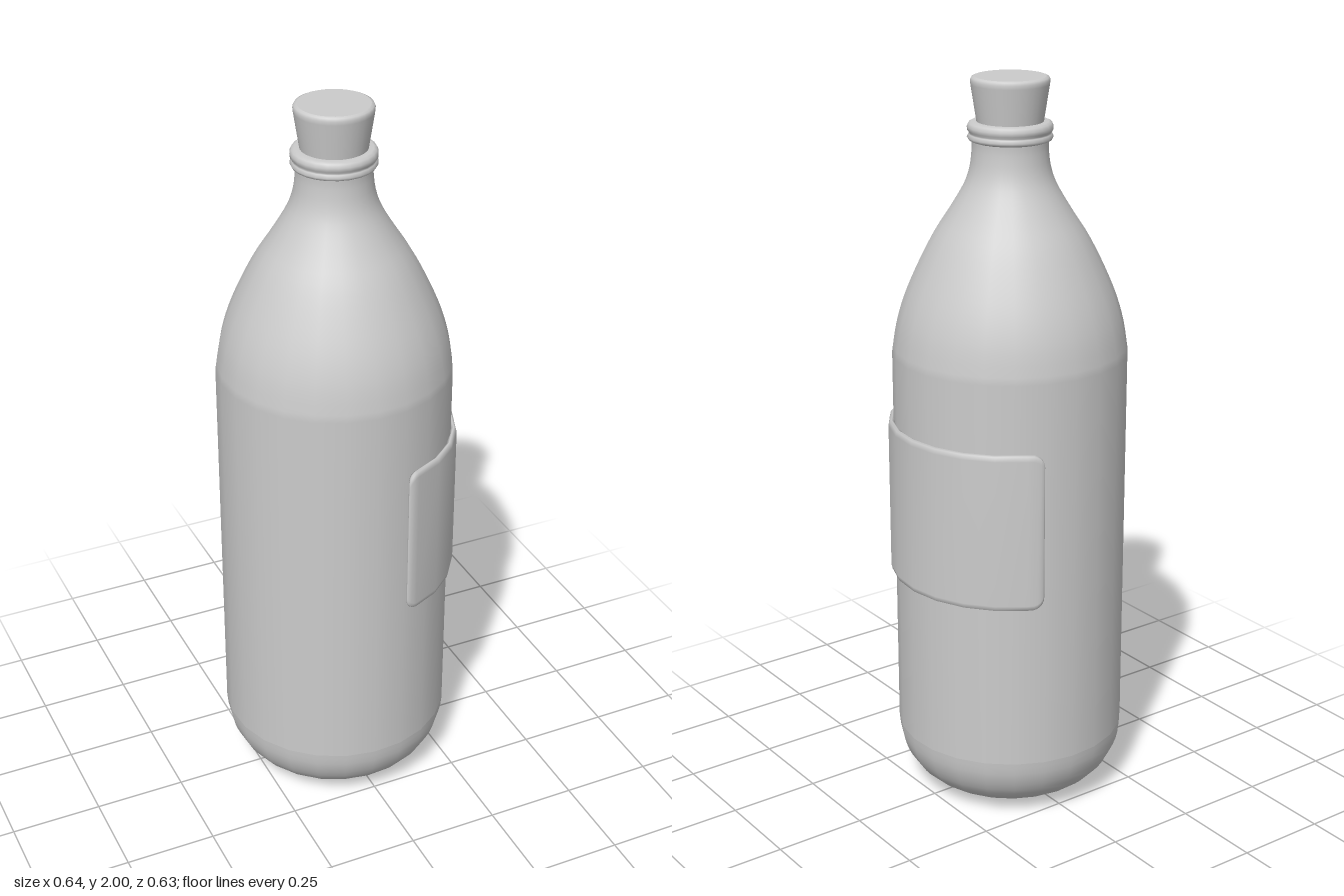
import * as THREE from 'three';

const rad = THREE.MathUtils.degToRad;
const material = new THREE.MeshStandardMaterial({ color: 0xcccccc });

function lathe(name, pairs, segments) {
  const points = pairs.map(([r, y]) => new THREE.Vector2(r, y));
  const mesh = new THREE.Mesh(new THREE.LatheGeometry(points, segments, rad(11.4)), material);
  mesh.name = name;
  return mesh;
}

// Smooth run of profile points through a few control points
function smooth(pairs, count) {
  const curve = new THREE.SplineCurve(pairs.map(([r, y]) => new THREE.Vector2(r, y)));
  return curve.getPoints(count).map((p) => [p.x, p.y]);
}

// Rounded rectangle wrapped around the body, lofted from upright cross-sections
function createLabel() {
  const start = 12.3, end = 160, radius = 0.324, middle = 0.868, half = 0.218, corner = 0.035;
  const inset = [0, 0.3, 0.9, 2, 3.5, 5];
  const angles = inset.map((d) => start + d);
  for (let a = 32; a < 154; a += 15) angles.push(a);
  angles.push(...inset.map((d) => end - d).reverse());

  // [radial offset, distance in from the edge, side]: up the outside, down the inside
  const section = [
    [-0.003, 0, -1], [0.003, 0.003, -1], [0.006, 0.016, -1],
    [0.006, 0.016, 1], [0.003, 0.003, 1], [-0.003, 0, 1],
    [-0.011, 0.006, 1], [-0.011, 0.006, -1],
  ];
  const n = section.length, positions = [], index = [];
  angles.forEach((angle, j) => {
    const d = Math.min(angle - start, end - angle);
    const along = Math.min(rad(d) * radius, corner);
    const h = half - corner + Math.sqrt(corner ** 2 - (corner - along) ** 2);
    const thick = Math.sqrt(Math.min(1, d / 2));
    for (const [offset, edge, side] of section) {
      const r = radius + offset * thick;
      positions.push(r * Math.sin(rad(angle)), middle + side * (h - edge), r * Math.cos(rad(angle)));
    }
    if (j === 0) return;
    for (let i = 0; i < n; i++) {
      const a = (j - 1) * n + i, b = (j - 1) * n + (i + 1) % n;
      index.push(a, a + n, b + n, a, b + n, b);
    }
  });
  const geometry = new THREE.BufferGeometry();
  geometry.setAttribute('position', new THREE.Float32BufferAttribute(positions, 3));
  geometry.setIndex(index);
  geometry.computeVertexNormals();
  const mesh = new THREE.Mesh(geometry, material);
  mesh.name = 'label';
  return mesh;
}

export function createModel() {
  const group = new THREE.Group();
  group.name = 'bottle';

  // Rounded base, straight wall, tapering shoulder, neck and lip
  const base = smooth([[0.13, 0.005], [0.18, 0.014], [0.24, 0.042], [0.283, 0.085], [0.308, 0.14], [0.315, 0.19]], 14);
  const shoulder = smooth([
    [0.315, 1.27], [0.302, 1.35], [0.28, 1.425], [0.246, 1.505], [0.205, 1.585],
    [0.16, 1.655], [0.122, 1.72], [0.106, 1.765], [0.1, 1.81], [0.1, 1.835],
  ], 28);
  const lip = [
    [0.1, 1.835], [0.108, 1.838], [0.112, 1.845], [0.108, 1.853], [0.105, 1.856],
    [0.111, 1.862], [0.112, 1.872], [0.108, 1.881], [0.1, 1.885], [0.08, 1.885],
  ];
  group.add(lathe('body', [[0, 0.005], ...base, [0.315, 0.19], ...shoulder, ...lip], 24));

  // Tapered cork with a softened top edge
  group.add(lathe('cork', [
    [0, 1.86], [0.084, 1.86], [0.084, 1.86], [0.088, 1.89], [0.102, 1.98],
    [0.103, 1.99], [0.1, 1.997], [0.093, 2], [0.093, 2], [0, 2],
  ], 32));

  group.add(createLabel());
  for (const part of group.children) part.position.set(-0.009, 0, -0.005);
  return group;
}
